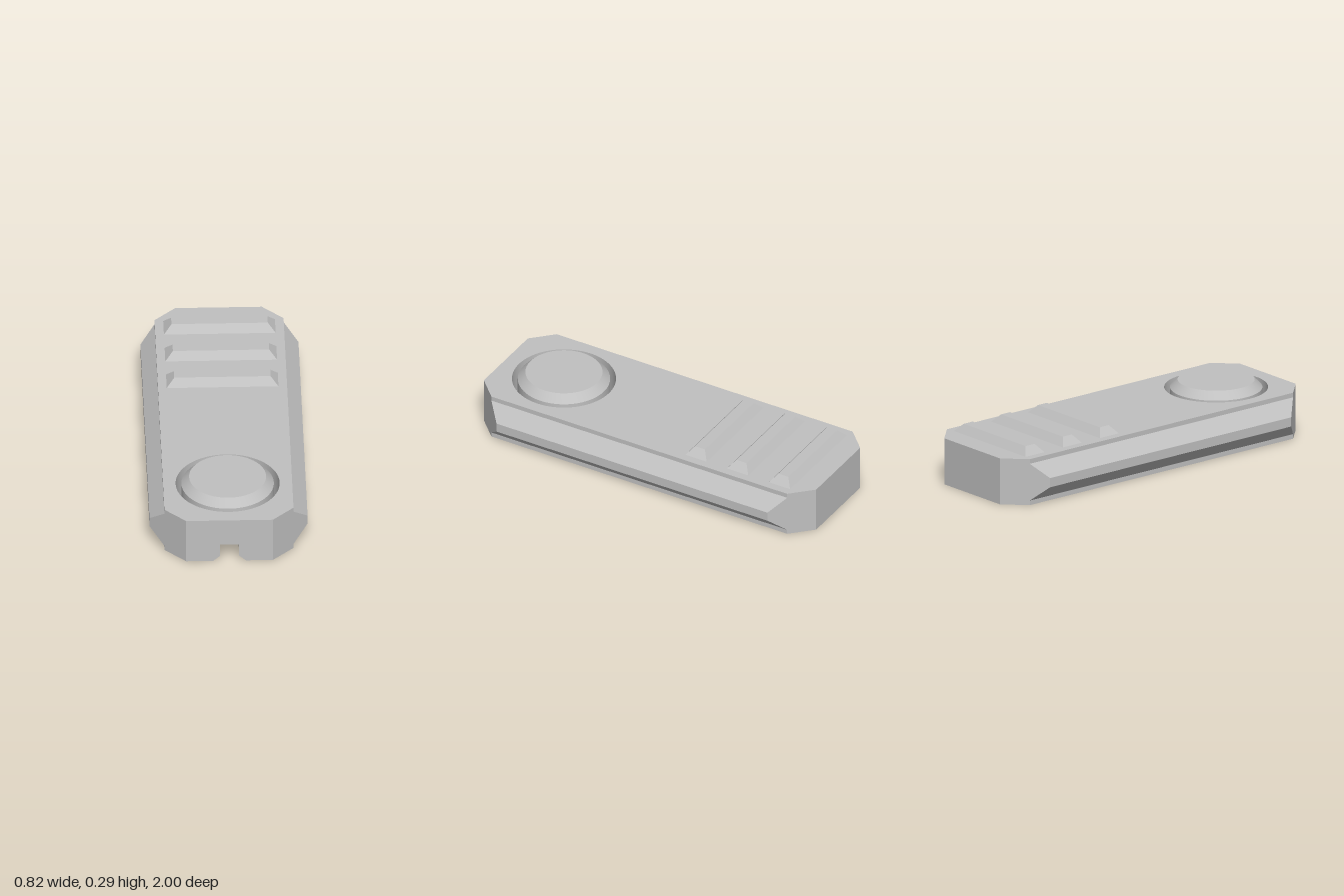
import * as THREE from 'three';
import { toCreasedNormals } from 'three/addons/utils/BufferGeometryUtils.js';

const CZ = 0.65, HOLE_R = 0.27, BUTTON_R = 0.24;

// Shape from a list of [x, y] points
const shapeOf = pts => new THREE.Shape(pts.map(p => new THREE.Vector2(p[0], p[1])));

// Arc points in plan [x, z]; angle is measured from the front (+z) towards +x
function arc(r, a0, a1, n) {
  const pts = [];
  for (let i = 0; i <= n; i++) {
    const a = a0 + (a1 - a0) * i / n;
    pts.push([r * Math.sin(a), CZ + r * Math.cos(a)]);
  }
  return pts;
}

// Plan outline [x, z] raised between heights y0 and y1
function slab(outline, y0, y1, holes = []) {
  const flip = pts => pts.map(([x, z]) => [x, -z]);
  const shape = shapeOf(flip(outline));
  holes.forEach(h => shape.holes.push(shapeOf(flip(h))));
  const geo = new THREE.ExtrudeGeometry(shape, { depth: y1 - y0, bevelEnabled: false });
  geo.rotateX(-Math.PI / 2);
  geo.translate(0, y0, 0);
  return toCreasedNormals(geo, 0.4);
}

// Profile [x, y] run along z from z0 to z1
function prism(profile, z0, z1) {
  const geo = new THREE.ExtrudeGeometry(shapeOf(profile), { depth: z1 - z0, bevelEnabled: false });
  geo.translate(0, 0, z0);
  return geo;
}

export function createModel() {
  const group = new THREE.Group();
  const grey = new THREE.MeshStandardMaterial({ color: 0xc0c0c0 });
  grey.name = 'grey plastic';
  const add = (name, geo) => {
    const mesh = new THREE.Mesh(geo, grey);
    mesh.name = name;
    group.add(mesh);
    return mesh;
  };

  // Upper body: chamfered block with the round button hole
  const octagon = [[0.225, 1], [0.335, 0.89], [0.335, -0.89], [0.225, -1],
    [-0.225, -1], [-0.335, -0.89], [-0.335, 0.89], [-0.225, 1]];
  add('upperBody', slab(octagon, 0.1, 0.25, [arc(HOLE_R, 0, Math.PI * 2 * 71 / 72, 71)]));

  // Lower body: front notch, button hole and the two slots that free the spring tongue
  const a0 = Math.asin(0.085 / HOLE_R), a1 = Math.PI - Math.asin(0.15 / HOLE_R);
  const lower = [[0.085, 1], ...octagon, [-0.085, 1],
    ...arc(HOLE_R, -a0, -a1, 28),
    [-0.15, -0.4], [-0.08, -0.4], [-0.08, 0.41], [0.08, 0.41], [0.08, -0.4], [0.15, -0.4],
    ...arc(HOLE_R, a1, a0, 28)];
  const window = [[-0.09, -0.9], [0.09, -0.9], [0.09, -0.8], [-0.09, -0.8]];
  add('lowerBody', slab(lower, 0, 0.1, [window]));

  // Tongue end: ramp that joins the spring tongue to the button
  const ramp = new THREE.BoxGeometry(0.16, 0.1, 0.12);
  ramp.translate(0, 0.05, 0.47);
  const rp = ramp.attributes.position;
  for (let i = 0; i < rp.count; i++) {
    if (rp.getZ(i) > 0.47) rp.setZ(i, rp.getY(i) > 0.05 ? 0.53 : 0.43);
  }
  ramp.computeVertexNormals();
  add('tongueRamp', ramp);

  for (const s of [1, -1]) {
    // Side rail with sloped flanks and ends cut in line with the corner chamfers
    const rail = prism([[0.335, 0.025], [0.41, 0.1], [0.41, 0.15], [0.335, 0.225]]
      .map(([x, y]) => [s * x, y]), -0.5, 0.5);
    const p = rail.attributes.position;
    for (let i = 0; i < p.count; i++) {
      p.setZ(i, Math.sign(p.getZ(i)) * (1.225 - Math.abs(p.getX(i))));
    }
    rail.computeVertexNormals();
    add(s > 0 ? 'leftRail' : 'rightRail', rail);

    // Cheek that narrows the flared front notch
    add('notchCheek', prism([[0.05, 0.03], [0.05, 0.1], [0.085, 0.1], [0.085, 0]]
      .map(([x, y]) => [s * x, y]), 0.912, 1));

    // Button underside: one half on each side of the flared groove
    const b = Math.asin(0.09 / BUTTON_R);
    const c = Math.sqrt(BUTTON_R ** 2 - 0.05 ** 2);
    const half = [[0.05, CZ + c], ...arc(BUTTON_R, b, Math.PI - b, 30), [0.05, CZ - c]]
      .map(([x, z]) => [s * x, z]);
    add('buttonHalf', slab(half, 0.03, 0.1));
    const foot = slab(half, 0, 0.03);
    const q = foot.attributes.position;
    const cf = Math.sqrt(BUTTON_R ** 2 - 0.085 ** 2);
    for (let i = 0; i < q.count; i++) {
      if (q.getY(i) < 0.01 && Math.abs(q.getX(i)) < 0.06) {
        q.setX(i, s * 0.085);
        q.setZ(i, CZ + Math.sign(q.getZ(i) - CZ) * cf);
      }
    }
    add('buttonFoot', toCreasedNormals(foot, 0.4));
  }

  // Round push button with bevelled rim
  const profile = [[0, 0.1], [BUTTON_R, 0.1], [BUTTON_R, 0.25], [0.2, 0.292], [0, 0.292]];
  const button = new THREE.LatheGeometry(profile.map(p => new THREE.Vector2(p[0], p[1])), 72);
  add('button', toCreasedNormals(button, 0.4)).position.z = CZ;

  // Three bevelled grip ridges across the back
  for (const z of [-0.315, -0.565, -0.817]) {
    const ridge = new THREE.BoxGeometry(0.58, 0.042, 0.128);
    const p = ridge.attributes.position;
    for (let i = 0; i < p.count; i++) {
      if (p.getY(i) > 0) {
        p.setX(i, Math.sign(p.getX(i)) * 0.25);
        p.setZ(i, Math.sign(p.getZ(i)) * 0.03);
      }
    }
    ridge.computeVertexNormals();
    add('gripRidge', ridge).position.set(0, 0.271, z);
  }
  return group;
}
